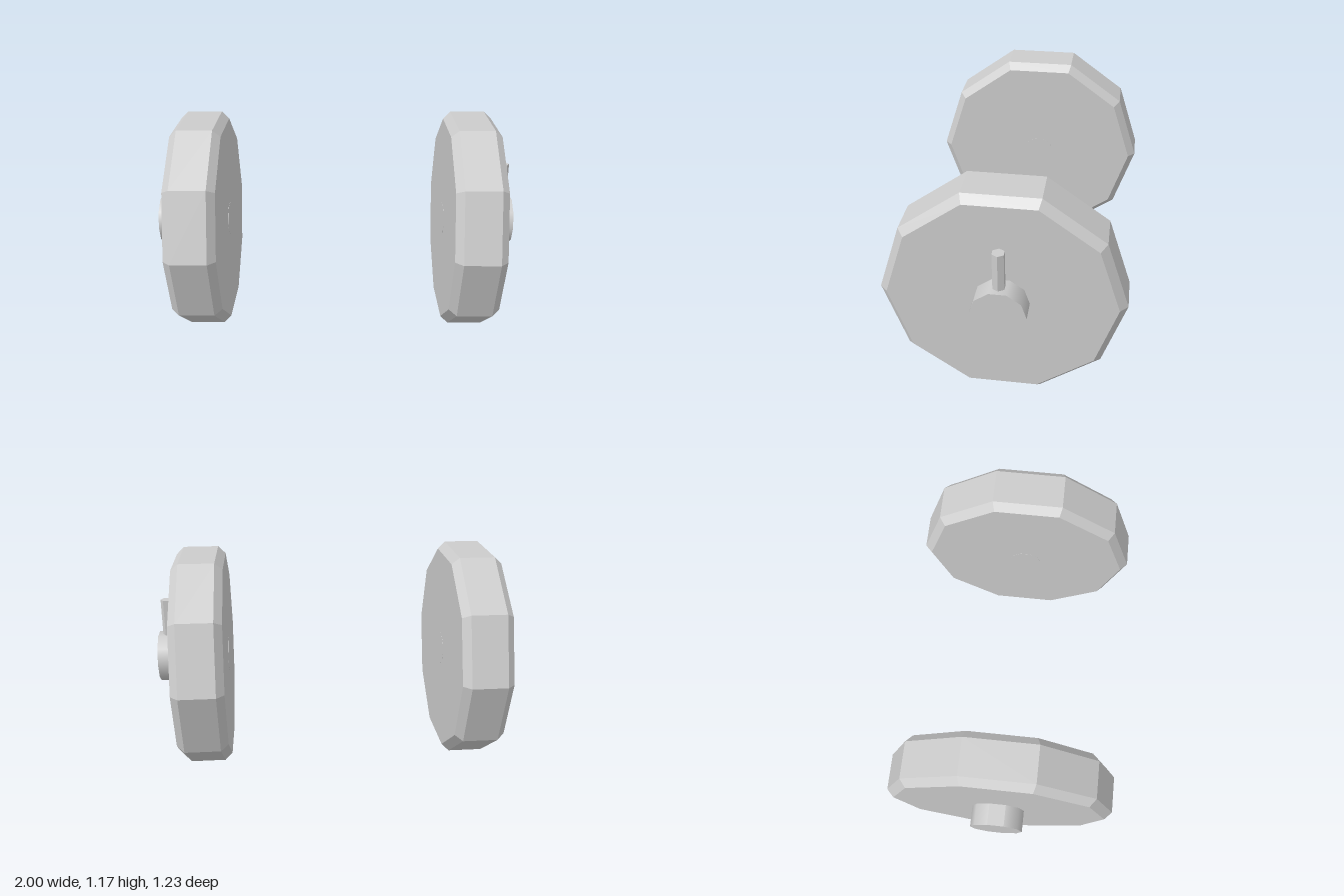
import * as THREE from 'three';

const AXIS_Y = 0.587;   // wheel centre height
const SIDES = 10;
const STEP = (Math.PI * 2) / SIDES;

const flat = new THREE.MeshStandardMaterial({ color: 0xcccccc, flatShading: true });
const smooth = new THREE.MeshStandardMaterial({ color: 0xcccccc });

function add(parent, name, geometry, material) {
  const mesh = new THREE.Mesh(geometry, material);
  mesh.name = name;
  parent.add(mesh);
  return mesh;
}

// Cylinder lying along x from x0 to x1, optionally only an arc of it
function axleCylinder(radius, x0, x1, segments = SIDES, start = 0, length = Math.PI * 2) {
  return new THREE.CylinderGeometry(radius, radius, x1 - x0, segments, 1, false, start, length)
    .rotateZ(-Math.PI / 2)
    .translate((x0 + x1) / 2, 0, 0);
}

// One wheel on the +x side, with its axis through the origin
function createWheel(name) {
  const wheel = new THREE.Group();
  wheel.name = name;

  // Ten-sided disc with bevelled rims
  const profile = [
    [0, 0.614], [0.575, 0.614], [0.615, 0.655],
    [0.615, 0.847], [0.575, 0.888], [0, 0.888],
  ].map(([r, x]) => new THREE.Vector2(r, x));
  add(wheel, 'wheelDisc', new THREE.LatheGeometry(profile, SIDES).rotateZ(-Math.PI / 2), flat);

  // Axle end showing on the inner face
  add(wheel, 'axleEnd', axleCylinder(0.092, 0.613, 0.75), smooth);

  // Hub: smooth all round except for the flat facet opposite the pin
  add(wheel, 'hub', axleCylinder(0.14, 0.88, 1, SIDES - 1, STEP * 3, STEP * 9), smooth);
  add(wheel, 'hubFacet', axleCylinder(0.14, 0.88, 1, 1, STEP * 2, STEP), flat);

  // Six-sided linchpin through the hub
  const pin = new THREE.CylinderGeometry(0.033, 0.033, 0.26, 6).rotateY(Math.PI / 2);
  add(wheel, 'linchpin', pin, flat).position.set(0.943, 0.205, 0);

  wheel.position.y = AXIS_Y;
  return wheel;
}

export function createModel() {
  const model = new THREE.Group();
  model.name = 'wheelPair';
  const left = createWheel('leftWheel');
  // The opposite wheel is turned half round, so its pin points down
  const right = createWheel('rightWheel');
  right.rotation.z = Math.PI;
  model.add(left, right);
  return model;
}
